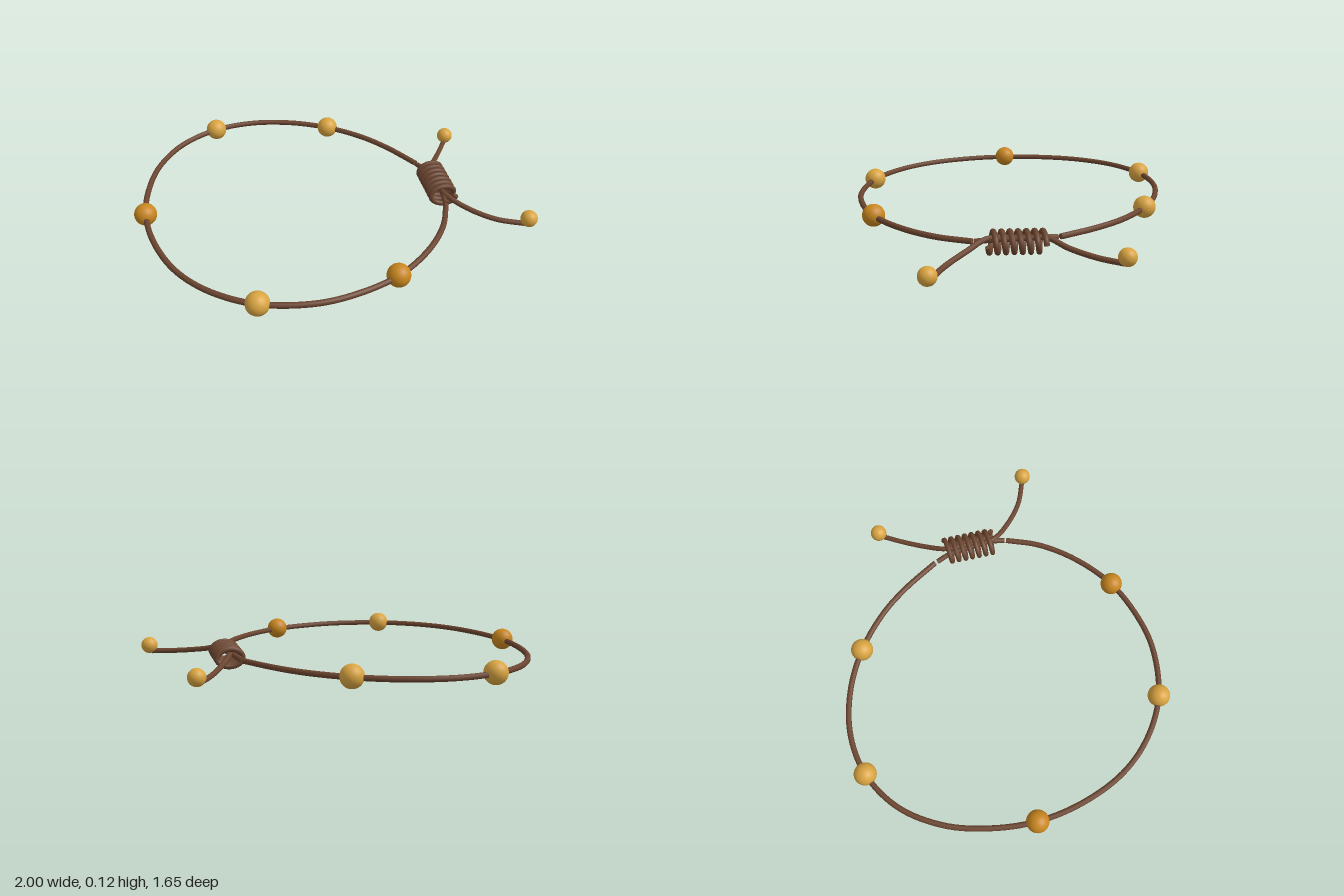
import * as THREE from 'three';

const Y = 0.06; // height of the cord loop

export function createModel() {
  const model = new THREE.Group();
  model.name = 'cordBracelet';

  const mat = (name, color) => {
    const m = new THREE.MeshStandardMaterial({ color });
    m.name = name;
    return m;
  };
  const brown = mat('brownCord', 0x6b4530);
  const amber = mat('darkAmber', 0xc8861f);
  const honey = mat('honeyGold', 0xd9a441);

  // Cord with closed ends along a smooth path
  function cord(name, points, radius, segments) {
    const path = new THREE.CatmullRomCurve3(points);
    const g = new THREE.Group();
    g.name = name;
    const tube = new THREE.Mesh(new THREE.TubeGeometry(path, segments, radius, 10), brown);
    tube.name = name + 'Tube';
    g.add(tube);
    for (const t of [0, 1]) {
      const cap = new THREE.Mesh(new THREE.CircleGeometry(radius, 10), brown);
      cap.name = name + 'End';
      cap.position.copy(path.getPointAt(t));
      const dir = path.getTangentAt(t).multiplyScalar(t ? 1 : -1);
      cap.quaternion.setFromUnitVectors(new THREE.Vector3(0, 0, 1), dir);
      g.add(cap);
    }
    model.add(g);
  }

  function bead(name, x, y, z, radius, material) {
    const m = new THREE.Mesh(new THREE.SphereGeometry(radius, 32, 20), material);
    m.name = name;
    m.position.set(x, y, z);
    model.add(m);
  }

  const V = (p) => new THREE.Vector3(p[0], p[1], p[2]);

  // Open loop of cord, as [x, z] points
  const loop = [
    [0.53, -0.2], [0.415, -0.39], [0.297, -0.535], [0.125, -0.675], [-0.08, -0.773],
    [-0.307, -0.813], [-0.525, -0.775], [-0.72, -0.65], [-0.855, -0.455], [-0.922, -0.24],
    [-0.944, 0], [-0.907, 0.24], [-0.81, 0.475], [-0.665, 0.645], [-0.47, 0.763],
    [-0.217, 0.809], [-0.02, 0.782], [0.19, 0.7], [0.377, 0.55], [0.505, 0.38], [0.575, 0.21],
  ];
  cord('loopCord', loop.map(([x, z]) => new THREE.Vector3(x, Y, z)), 0.0145, 160);

  // Sliding knot: an oval coil around the cord
  const coil = [];
  const turns = 7, steps = 16;
  for (let i = 0; i <= turns * steps; i++) {
    const t = i / (turns * steps);
    const a = t * turns * Math.PI * 2;
    coil.push(new THREE.Vector3(0.587 + 0.065 * Math.cos(a), Y + 0.046 * Math.sin(a), -0.125 + 0.265 * t));
  }
  cord('knotCoil', coil, 0.0135, turns * 28);

  // Tails: each crosses inside the knot and droops outward
  cord('frontTail', [
    [0.535, Y, -0.185], [0.56, 0.07, -0.11], [0.575, 0.075, 0.02], [0.59, 0.078, 0.14],
    [0.67, 0.05, 0.235], [0.8, 0.028, 0.335], [0.94, 0.021, 0.393],
  ].map(V), 0.0135, 48);
  cord('backTail', [
    [0.577, Y, 0.2], [0.585, 0.07, 0.12], [0.588, 0.075, 0], [0.593, 0.078, -0.13],
    [0.645, 0.045, -0.225], [0.715, 0.024, -0.345], [0.78, 0.021, -0.455],
  ].map(V), 0.0135, 48);

  // Beads on the loop
  [
    [-0.944, 0, amber], [-0.523, -0.775, honey], [0.125, -0.675, honey],
    [-0.47, 0.763, honey], [0.19, 0.7, amber],
  ].forEach(([x, z, m], i) => bead('loopBead' + (i + 1), x, 0.064, z, 0.057, m));

  // Small beads at the tail ends
  bead('frontTailBead', 0.953, 0.053, 0.396, 0.043, honey);
  bead('backTailBead', 0.785, 0.053, -0.466, 0.043, honey);

  return model;
}
